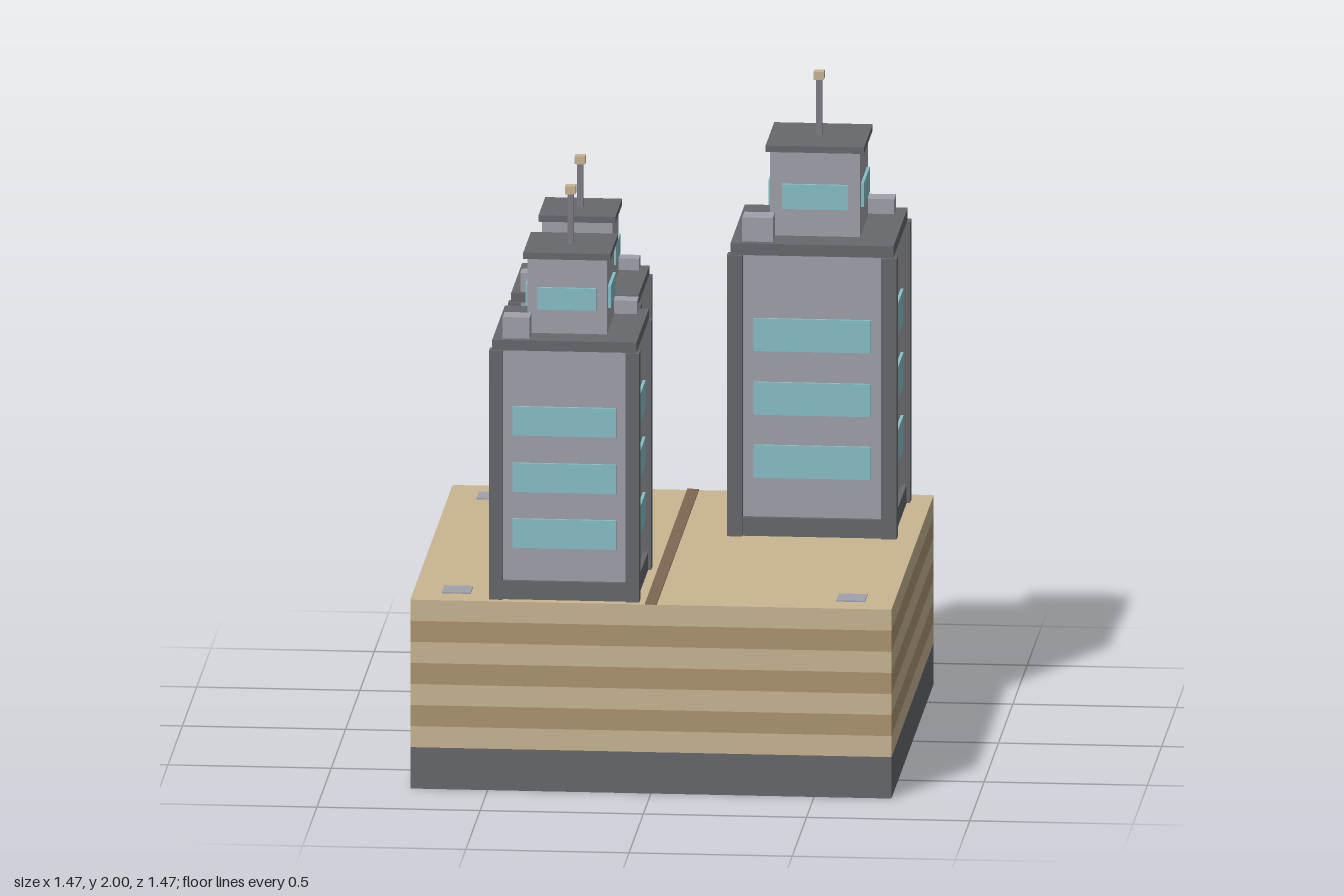
import * as THREE from 'three';

const mat = (name, color) => {
  const m = new THREE.MeshStandardMaterial({ color });
  m.name = name;
  return m;
};

export function createModel() {
  const sand = mat('sand', 0xc9b592);
  const clay = mat('clay', 0xac936f);
  const charcoal = mat('charcoal', 0x67686d);
  const concrete = mat('concrete', 0xa0a1aa);
  const glass = mat('glass', 0x86c0c8);
  const pathBrown = mat('pathBrown', 0x7f6753);
  const mastGrey = mat('mastGrey', 0x7c7d84);

  const model = new THREE.Group();
  model.name = 'cityBlock';

  // Box standing on height y, centred on x and z
  const box = (parent, name, material, w, h, d, x, y, z) => {
    const mesh = new THREE.Mesh(new THREE.BoxGeometry(w, h, d), material);
    mesh.name = name;
    mesh.position.set(x, y + h / 2, z);
    parent.add(mesh);
    return mesh;
  };

  // Layered ground block
  const size = 1.474, footing = 0.13, layer = 0.0662;
  const ground = footing + 7 * layer;
  box(model, 'footing', charcoal, size, footing, size, 0, 0, 0);
  for (let i = 0; i < 7; i++) {
    box(model, 'groundLayer', i % 2 ? clay : sand, size, layer, size, 0, footing + i * layer, 0);
  }

  // Path and corner pads
  box(model, 'path', pathBrown, 0.036, 0.004, size, 0, ground, 0);
  for (const [x, z] of [[-0.604, -0.604], [-0.604, 0.604], [0.604, 0.604]]) {
    box(model, 'pad', concrete, 0.088, 0.004, 0.088, x, ground, z);
  }

  // One window strip on each of the four faces
  const windowRing = (parent, name, halfWidth, height, faceDistance, y) => {
    const thick = 0.009;
    for (let i = 0; i < 4; i++) {
      const side = new THREE.Group();
      side.name = name + 'Side';
      side.rotation.y = i * Math.PI / 2;
      box(side, name, glass, halfWidth * 2, height, thick, 0, y - height / 2, faceDistance + thick / 2);
      parent.add(side);
    }
  };

  // Tower: r is the half width over the corner posts, h the height of the shaft
  const addTower = (name, x, z, r, h) => {
    const t = new THREE.Group();
    t.name = name;
    t.position.set(x, ground, z);
    model.add(t);

    const plinth = 0.058, body = r * 0.9, post = r * 0.18;
    box(t, 'plinth', charcoal, r * 1.92, plinth, r * 1.92, 0, 0, 0);
    box(t, 'shaft', concrete, body * 2, h - plinth, body * 2, 0, plinth, 0);
    for (const sx of [-1, 1]) for (const sz of [-1, 1]) {
      box(t, 'cornerPost', charcoal, post, h, post, sx * (r - post / 2), 0, sz * (r - post / 2));
    }
    for (const f of [0.264, 0.488, 0.715]) windowRing(t, 'window', r * 0.69, h * 0.116, body, h * f);

    // Cornice and rooftop units
    const cornice = r * 0.14, roof = h + cornice;
    box(t, 'cornice', charcoal, r * 1.92, cornice, r * 1.92, 0, h, 0);
    box(t, 'roofUnit', concrete, r * 0.36, r * 0.29, r * 0.285, -r * 0.65, roof, r * 0.72);
    box(t, 'roofUnit', concrete, r * 0.36, r * 0.18, r * 0.25, r * 0.65, roof, -r * 0.755);

    // Upper storey
    const upper = h * 0.3, capHeight = 0.02, upperHalf = r * 0.53;
    box(t, 'upperStorey', concrete, upperHalf * 2, upper, upperHalf * 2, 0, roof, 0);
    windowRing(t, 'upperWindow', r * 0.39, h * 0.088, upperHalf, roof + upper * 0.47);
    box(t, 'cap', charcoal, r * 1.16, capHeight, r * 1.16, 0, roof + upper, 0);

    // Mast and its tip
    const capTop = roof + upper + capHeight, mast = h * 0.2;
    box(t, 'mast', mastGrey, 0.018, mast, 0.018, 0, capTop, 0);
    box(t, 'mastTip', sand, 0.032, 0.025, 0.032, 0, capTop + mast, 0);
  };

  addTower('tallTower', 0.414, -0.417, 0.26, 0.882);
  addTower('frontTower', -0.268, 0.485, 0.23, 0.782);
  addTower('shortTower', -0.323, -0.479, 0.203, 0.69);

  return model;
}
